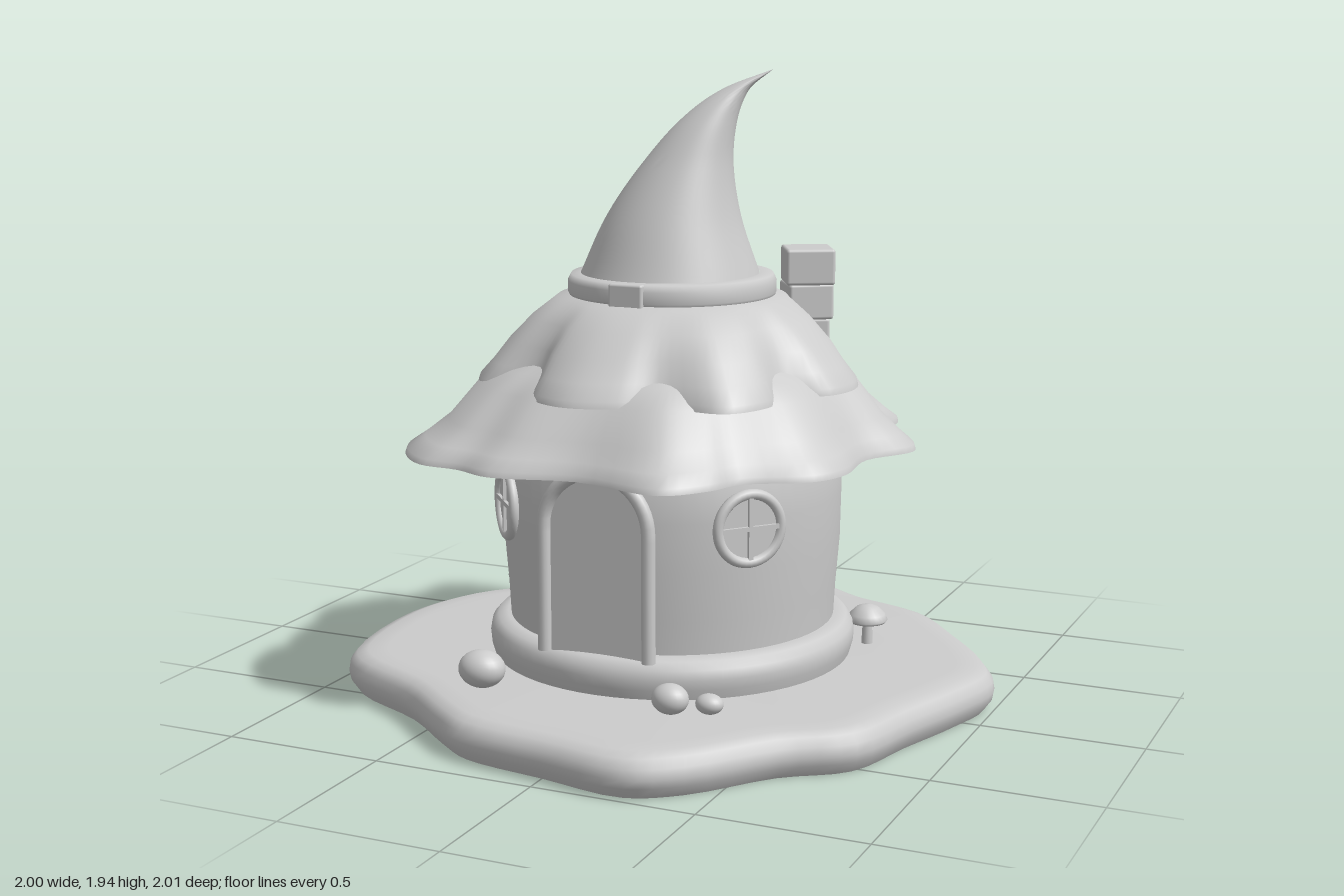
import * as THREE from 'three';
import { toCreasedNormals } from 'three/addons/utils/BufferGeometryUtils.js';
import { RoundedBoxGeometry } from 'three/addons/geometries/RoundedBoxGeometry.js';

const CX = -0.015; // axis of the house

export function createModel() {
  const model = new THREE.Group();
  const clay = new THREE.MeshStandardMaterial({ color: 0xcccccc });
  clay.name = 'light grey';

  function add(name, geometry, x = 0, y = 0, z = 0, parent = model) {
    const mesh = new THREE.Mesh(geometry, clay);
    mesh.name = name;
    mesh.position.set(x, y, z);
    parent.add(mesh);
    return mesh;
  }

  // Skin a stack of rings, each a list of Vector3, from bottom to top
  function loft(rings, crease = 0.8) {
    const n = rings[0].length, index = [];
    for (let j = 0; j < rings.length - 1; j++) {
      for (let i = 0; i < n; i++) {
        const a = j * n + i, b = j * n + (i + 1) % n;
        index.push(a, b, b + n, a, b + n, a + n);
      }
    }
    const g = new THREE.BufferGeometry().setFromPoints(rings.flat());
    g.setIndex(index);
    g.computeVertexNormals();
    return toCreasedNormals(g, crease);
  }

  // Rings [y, R, k]: k blends a wavy outline (0) into a circle of radius R (1)
  function wavyLoft(flat, levels, samples) {
    const pts = [];
    for (let i = 0; i < flat.length; i += 2) pts.push(new THREE.Vector3(flat[i] - CX, 0, flat[i + 1]));
    const curve = new THREE.CatmullRomCurve3(pts, true);
    const edge = Array.from({ length: samples }, (_, i) => curve.getPoint(i / samples));
    return loft(levels.map(([y, R, k]) => edge.map((p) => {
      const r = THREE.MathUtils.lerp(p.length(), R, k);
      const q = p.clone().setLength(r);
      return new THREE.Vector3(q.x + CX, y, q.z);
    })));
  }

  function lathe(profile, segments = 64) {
    return new THREE.LatheGeometry(profile.map(([r, y]) => new THREE.Vector2(r, y)), segments);
  }

  // Ground slab with an irregular outline
  const ground = [
    -0.02, -1, -0.18, -0.98, -0.55, -0.82, -0.67, -0.71, -0.74, -0.49, -0.92, -0.27, -1, 0,
    -0.95, 0.42, -0.87, 0.53, -0.6, 0.67, -0.4, 0.83, -0.28, 0.91, 0, 0.96, 0.28, 1,
    0.43, 0.91, 0.62, 0.68, 0.8, 0.54, 0.88, 0.29, 0.96, 0.05, 1, -0.14, 0.93, -0.3,
    0.78, -0.5, 0.6, -0.7, 0.35, -0.8, 0.19, -0.9];
  add('ground', wavyLoft(ground, [
    [0, 0, 1], [0, 0, 0.03], [0.035, 0, 0.005], [0.06, 0, 0], [0.09, 0, 0.005],
    [0.115, 0, 0.025], [0.127, 0, 0.06], [0.13, 0, 0.12], [0.13, 0, 1]], 100));

  // Foundation and wall
  add('foundation', lathe([[0.56, 0.12], [0.572, 0.16], [0.575, 0.19], [0.57, 0.22],
    [0.55, 0.242], [0.52, 0.25], [0.45, 0.25]]), CX);
  add('wall', lathe([[0.508, 0.22], [0.515, 0.35], [0.527, 0.5], [0.53, 0.65],
    [0.526, 0.85], [0.45, 0.9]]), CX);

  // Two scalloped roof tiers
  const lower = [
    -0.02, -0.77, -0.24, -0.61, -0.47, -0.62, -0.59, -0.56, -0.6, -0.4, -0.71, -0.24,
    -0.79, -0.09, -0.69, 0.06, -0.68, 0.24, -0.71, 0.36, -0.67, 0.52, -0.54, 0.66,
    -0.4, 0.68, -0.27, 0.73, -0.01, 0.68, 0.27, 0.74, 0.38, 0.63, 0.43, 0.52,
    0.61, 0.4, 0.66, 0.28, 0.65, 0.07, 0.74, -0.1, 0.7, -0.21, 0.57, -0.36,
    0.55, -0.53, 0.44, -0.62, 0.17, -0.63];
  add('lowerRoof', wavyLoft(lower, [
    [0.84, 0.5, 1], [0.805, 0.5, 0.1], [0.8, 0.5, 0], [0.818, 0.5, 0.02],
    [0.85, 0.53, 0.2], [0.9, 0.53, 0.44], [1, 0.46, 0.6], [1.05, 0.44, 0.78], [1.12, 0.38, 1]], 135));

  const upper = [
    -0.05, -0.55, -0.15, -0.57, -0.29, -0.54, -0.37, -0.38, -0.53, -0.32, -0.58, -0.22,
    -0.53, -0.05, -0.58, 0.11, -0.54, 0.29, -0.46, 0.4, -0.28, 0.43, -0.22, 0.54,
    -0.09, 0.6, 0.06, 0.56, 0.16, 0.49, 0.37, 0.5, 0.45, 0.36, 0.44, 0.2,
    0.55, 0.11, 0.58, -0.02, 0.52, -0.18, 0.41, -0.27, 0.4, -0.4, 0.3, -0.52, 0.17, -0.53, 0.04, -0.5];
  add('upperRoof', wavyLoft(upper, [
    [1.03, 0.4, 1], [1, 0.4, 0.08], [0.995, 0.4, 0], [1.015, 0.4, 0.03],
    [1.06, 0.41, 0.25], [1.12, 0.41, 0.5], [1.19, 0.38, 0.75], [1.25, 0.355, 1], [1.265, 0.28, 1]], 130));

  // Band with buckle
  add('hatBand', lathe([[0.28, 1.25], [0.315, 1.25], [0.322, 1.265], [0.322, 1.3],
    [0.312, 1.32], [0.27, 1.322]]), CX);
  add('buckle', new RoundedBoxGeometry(0.11, 0.075, 0.03, 2, 0.008), -0.022, 1.285, 0.315);

  // Curled pointed top: [y, x, z, radius], smoothed between the stations
  const stations = [[1.31, -0.023, 0, 0.28], [1.5, -0.005, 0.01, 0.205], [1.67, 0.042, 0, 0.134],
    [1.8, 0.103, -0.025, 0.082], [1.88, 0.168, -0.058, 0.042], [1.94, 0.27, -0.105, 0.001]];
  const axis = new THREE.CatmullRomCurve3(stations.map(([y, x, z]) => new THREE.Vector3(x, y, z)));
  const radii = new THREE.CatmullRomCurve3(stations.map(([y, , , r]) => new THREE.Vector3(r, y, 0)));
  const hatRings = Array.from({ length: 31 }, (_, j) => {
    const c = axis.getPoint(j / 30), r = Math.max(radii.getPoint(j / 30).x, 0.001);
    return Array.from({ length: 48 }, (_, i) => {
      const a = (i / 48) * Math.PI * 2;
      return new THREE.Vector3(c.x + r * Math.sin(a), c.y, c.z + r * Math.cos(a));
    });
  });
  add('pointedTop', loft(hatRings, 1.2));

  // Chimney of three stacked blocks
  const chimney = new THREE.Group();
  chimney.name = 'chimney';
  model.add(chimney);
  [[0.152, 1.335, 0.345, -0.228, 0.5], [0.142, 1.225, 0.338, -0.238, 0.6], [0.13, 1.115, 0.335, -0.248, 0.5]]
    .forEach(([w, y, x, z, turn]) => {
      add('chimneyBlock', new RoundedBoxGeometry(w, 0.112, w, 2, 0.01), x, y, z, chimney).rotation.y = turn;
    });

  // Arched door and frame
  const door = new THREE.Group();
  door.name = 'door';
  door.position.set(-0.022, 0, 0);
  model.add(door);
  const panel = new THREE.Shape();
  panel.moveTo(-0.17, 0.24);
  panel.lineTo(0.17, 0.24);
  panel.lineTo(0.17, 0.625);
  panel.absarc(0, 0.625, 0.17, 0, Math.PI, false);
  panel.closePath();
  add('doorPanel', new THREE.ExtrudeGeometry(panel, { depth: 0.06, bevelEnabled: false, curveSegments: 24 }),
    0, 0, 0.472, door);
  const framePath = new THREE.CurvePath();
  const arch = Array.from({ length: 17 }, (_, i) => {
    const a = Math.PI * (1 - i / 16);
    return new THREE.Vector3(0.17 * Math.cos(a), 0.625 + 0.17 * Math.sin(a), 0);
  });
  framePath.add(new THREE.LineCurve3(new THREE.Vector3(-0.17, 0.24, 0), arch[0]));
  framePath.add(new THREE.CatmullRomCurve3(arch));
  framePath.add(new THREE.LineCurve3(arch[16], new THREE.Vector3(0.17, 0.24, 0)));
  add('doorFrame', new THREE.TubeGeometry(framePath, 64, 0.021, 12), 0, 0, 0.535, door);

  // Round windows on both sides of the door
  for (const side of [-1, 1]) {
    const win = new THREE.Group();
    const a = side * 0.86;
    win.name = side > 0 ? 'leftWindow' : 'rightWindow';
    win.position.set(CX + 0.532 * Math.sin(a), 0.628, 0.532 * Math.cos(a));
    win.rotation.y = a;
    model.add(win);
    add('windowRing', new THREE.TorusGeometry(0.103, 0.016, 12, 40), 0, 0, 0, win);
    add('windowPane', new THREE.CircleGeometry(0.1, 32), 0, 0, 0.002, win);
    add('windowBarUpright', new THREE.BoxGeometry(0.014, 0.2, 0.014), 0, 0, 0.005, win);
    add('windowBarAcross', new THREE.BoxGeometry(0.2, 0.014, 0.014), 0, 0, 0.005, win);
  }

  // Stones: [x, y, z, width radius, height radius]
  for (const [x, y, z, r, h] of [[-0.35, 0.19, 0.64, 0.073, 0.057],
    [0.26, 0.177, 0.63, 0.056, 0.045], [0.365, 0.163, 0.588, 0.042, 0.03]]) {
    add('stone', new THREE.SphereGeometry(1, 24, 16), x, y, z).scale.set(r, h, r * 0.85);
  }

  // Mushrooms: [x, z, cap radius, cap base height]
  for (const [x, z, r, y] of [[-0.652, -0.24, 0.074, 0.215], [-0.6, -0.37, 0.05, 0.185],
    [0.55, -0.255, 0.064, 0.2]]) {
    const mushroom = new THREE.Group();
    mushroom.name = 'mushroom';
    mushroom.position.set(x, 0, z);
    model.add(mushroom);
    add('mushroomStem', new THREE.CylinderGeometry(r * 0.22, r * 0.3, y - 0.1, 16), 0, (y + 0.12) / 2, 0, mushroom);
    add('mushroomCap', lathe([[0, 0.006], [r * 0.9, 0], [r, 0.008], [r * 0.88, r * 0.42],
      [r * 0.55, r * 0.74], [r * 0.25, r * 0.86], [0, r * 0.88]], 24), 0, y, 0, mushroom);
  }
  return model;
}
